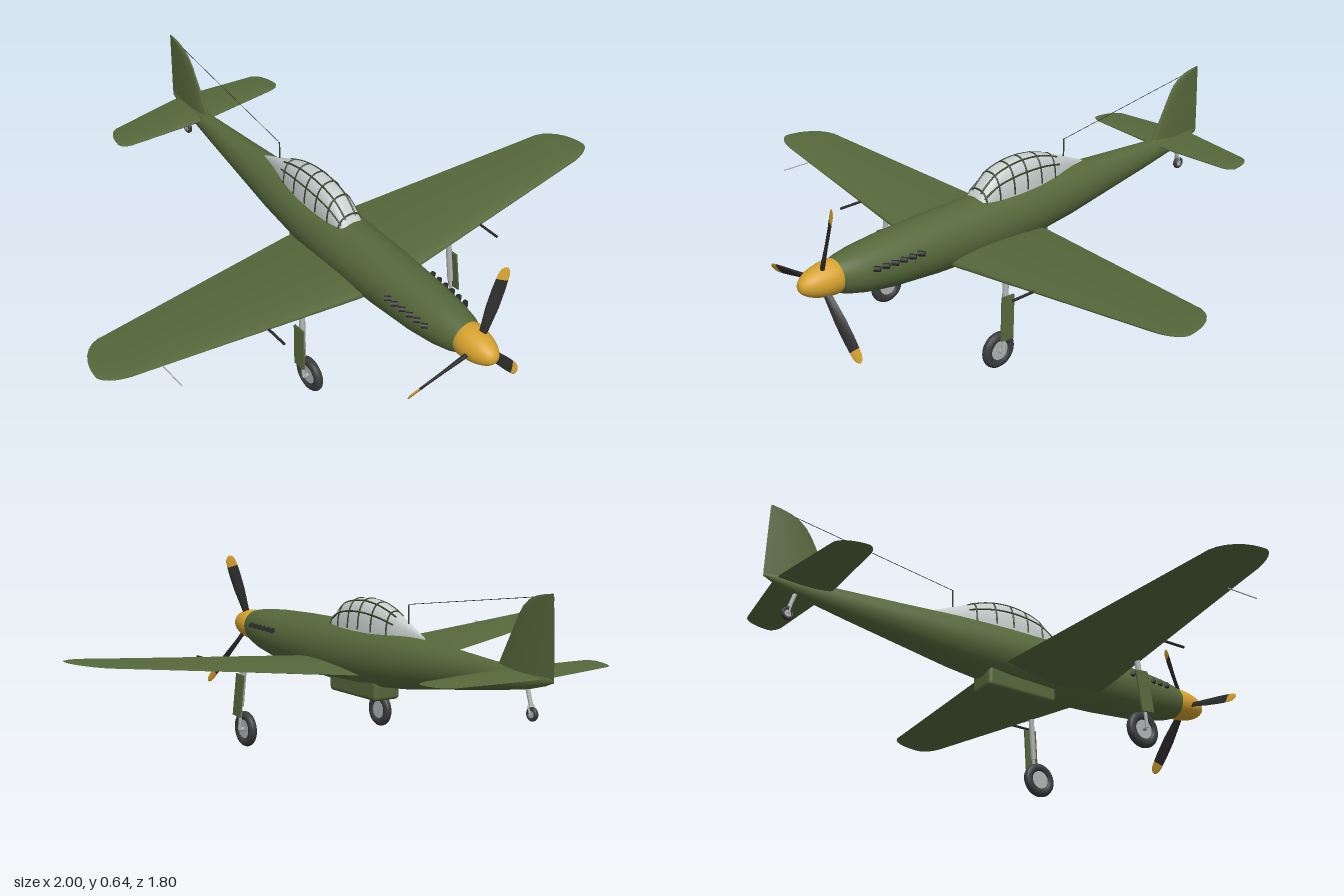
import * as THREE from 'three';
import { RoundedBoxGeometry } from 'three/addons/geometries/RoundedBoxGeometry.js';

const V = (x, y, z) => new THREE.Vector3(x, y, z);
const mat = (name, color, side = THREE.FrontSide) => {
  const m = new THREE.MeshStandardMaterial({ color, side });
  m.name = name;
  return m;
};

// Skin a list of rings (equal point counts), wound outward, with optional end caps
function loft(rings, { closed = false, caps = true } = {}) {
  const n = rings[0].length, pts = rings.flat(), idx = [];
  for (let i = 0; i < rings.length - 1; i++)
    for (let j = 0; j < (closed ? n : n - 1); j++) {
      const a = i * n + j, b = i * n + (j + 1) % n;
      idx.push(a, b, a + n, b, b + n, a + n);
    }
  if (caps) for (const end of [0, rings.length - 1]) {
    const base = pts.length;
    pts.push(...rings[end]);
    for (let j = 1; j < n - 1; j++) {
      if (end) idx.push(base, base + j, base + j + 1);
      else idx.push(base, base + j + 1, base + j);
    }
  }
  let vol = 0;
  const o = pts[0], p = k => pts[idx[k]].clone().sub(o);
  for (let k = 0; k < idx.length; k += 3) vol += p(k).dot(p(k + 1).cross(p(k + 2)));
  if (vol < 0) idx.reverse();
  const g = new THREE.BufferGeometry().setFromPoints(pts);
  g.setIndex(idx);
  g.computeVertexNormals();
  return g;
}

// Aerofoil surface: sections are [span, leading edge, trailing edge, half thickness]
function foil(sections, place, steps = 24) {
  return loft(sections.map(([s, le, te, t]) => Array.from({ length: steps + 1 }, (_, i) => {
    const a = i / steps * Math.PI * 2, f = (1 + Math.cos(a)) / 2;
    const h = Math.sign(Math.sin(a)) * 2.6 * Math.sqrt(f) * (1 - f) * t;
    return place(s, le + (te - le) * f, h);
  })));
}

// Mirrored span with elliptical tips
function span(root, x0, x1, le0, te0, le1, te1, tipZ, t0, t1) {
  const half = [[0, le0, te0, t0], [root, le0, te0, t0], [x0, le1, te1, t1]];
  for (const k of [0.25, 0.45, 0.62, 0.77, 0.88, 0.95, 0.985, 0.999]) {
    const s = Math.sqrt(1 - k * k);
    half.push([x0 + (x1 - x0) * k, tipZ + (le1 - tipZ) * s, tipZ + (te1 - tipZ) * s, t1 * s]);
  }
  return [...half.slice(1).reverse().map(([x, ...r]) => [-x, ...r]), ...half];
}

export function createModel() {
  const model = new THREE.Group();
  model.name = 'propellerPlane';
  const green = mat('olive green', 0x56683b), gold = mat('yellow', 0xd6a22f);
  const black = mat('black', 0x2b2b2c), rubber = mat('tyre rubber', 0x3a3b3c);
  const metal = mat('grey metal', 0xb0b3b4), glass = mat('canopy glass', 0xc6cecd, THREE.DoubleSide);
  const frame = mat('frame green', 0x35452c);

  const add = (name, geo, material, x = 0, y = 0, z = 0, parent = model) => {
    const m = new THREE.Mesh(geo, material);
    m.name = name;
    m.position.set(x, y, z);
    parent.add(m);
    return m;
  };
  const rod = (name, a, b, r, material, parent = model) => {
    const m = add(name, new THREE.CylinderGeometry(r, r, a.distanceTo(b), 10), material, 0, 0, 0, parent);
    m.position.copy(a).lerp(b, 0.5);
    m.quaternion.setFromUnitVectors(V(0, 1, 0), b.clone().sub(a).normalize());
    return m;
  };

  // Fuselage: z, top, bottom, half width
  const body = [
    [0.77, 0.418, 0.306, 0.055], [0.74, 0.425, 0.293, 0.066], [0.68, 0.434, 0.277, 0.078],
    [0.58, 0.442, 0.26, 0.088], [0.4, 0.449, 0.245, 0.096], [0.2, 0.452, 0.237, 0.099],
    [0, 0.452, 0.242, 0.095], [-0.2, 0.444, 0.262, 0.079], [-0.4, 0.431, 0.292, 0.058],
    [-0.6, 0.419, 0.322, 0.037], [-0.78, 0.409, 0.352, 0.018], [-0.86, 0.403, 0.374, 0.009],
    [-0.89, 0.397, 0.386, 0.003]];
  add('fuselage', loft(body.map(([z, t, b, w]) => Array.from({ length: 36 }, (_, i) => {
    const a = i / 36 * Math.PI * 2;
    return V(w * Math.cos(a), (t + b) / 2 + (t - b) / 2 * Math.sin(a), z);
  })), { closed: true }), green);

  // Wing, tailplane and fin
  add('wing', foil(span(0.1, 0.88, 1, 0.372, -0.03, 0.325, 0.115, 0.27, 0.026, 0.008),
    (x, z, h) => V(x, 0.283 + Math.abs(x) * 0.105 + h, z)), green);
  add('tailplane', foil(span(0.03, 0.29, 0.345, -0.665, -0.85, -0.682, -0.812, -0.715, 0.011, 0.006),
    (x, z, h) => V(x, 0.393 + h, z)), green);
  add('fin', foil([
    [0.386, -0.638, -0.895, 0.014], [0.41, -0.65, -0.895, 0.013], [0.575, -0.74, -0.89, 0.008],
    [0.6, -0.758, -0.889, 0.007], [0.62, -0.782, -0.888, 0.006], [0.634, -0.812, -0.888, 0.005],
    [0.642, -0.848, -0.887, 0.004], [0.646, -0.88, -0.887, 0.002]],
  (y, z, h) => V(h, y, z)), green);

  // Belly radiator with dark intake
  add('radiator', new RoundedBoxGeometry(0.106, 0.075, 0.275, 4, 0.014), green, 0, 0.2425, 0.052);
  add('radiatorIntake', new THREE.BoxGeometry(0.08, 0.024, 0.004), black, 0, 0.225, 0.189);

  // Canopy: half width, top height, z
  const spine = new THREE.CatmullRomCurve3([
    V(0.042, 0.44, 0.215), V(0.048, 0.482, 0.18), V(0.053, 0.521, 0.13), V(0.055, 0.54, 0.05),
    V(0.053, 0.54, -0.02), V(0.045, 0.526, -0.09), V(0.032, 0.498, -0.16), V(0.015, 0.468, -0.23),
    V(0.003, 0.442, -0.29)]);
  const soft = v => Math.sign(v) * Math.pow(Math.abs(v), 0.8);
  const onCanopy = (t, a) => {
    const c = spine.getPoint(t);
    return V(c.x * soft(Math.cos(a)), 0.42 + (c.y - 0.42) * soft(Math.sin(a)), c.z);
  };
  const arc = n => Array.from({ length: n + 1 }, (_, i) => i / n);
  add('canopyGlass', loft(arc(32).map(t => arc(24).map(k => onCanopy(t, k * Math.PI))), { caps: false }), glass);
  const bar = (name, points) => add(name,
    new THREE.TubeGeometry(new THREE.CatmullRomCurve3(points), 40, 0.0032, 6), frame);
  for (const t of [0.1, 0.24, 0.34, 0.44, 0.56, 0.69])
    bar('canopyHoop', arc(16).map(k => onCanopy(t, 0.1 + k * (Math.PI - 0.2))));
  for (const a of [0.62, 1.2, Math.PI - 1.2, Math.PI - 0.62])
    bar('canopyRail', arc(16).map(k => onCanopy(0.08 + k * 0.66, a)));

  // Spinner and three twisted blades with yellow tips
  const nose = [[0, 0], [0.055, 0], [0.057, 0.02], [0.054, 0.05], [0.046, 0.085], [0.033, 0.113], [0.017, 0.131], [0, 0.136]];
  const curve = new THREE.SplineCurve(nose.slice(1).map(p => new THREE.Vector2(...p))).getPoints(24);
  curve[curve.length - 1].x = 0;
  const spinner = add('spinner', new THREE.LatheGeometry([new THREE.Vector2(0, 0), ...curve], 32), gold, 0, 0.363, 0.764);
  spinner.rotation.x = Math.PI / 2;
  const twisted = (s, c, h) => {
    const p = 0.85 - s * 1.7;
    return V(c * Math.cos(p) - h * Math.sin(p), s, c * Math.sin(p) + h * Math.cos(p));
  };
  const blade = foil([[0.03, 0.011, -0.011, 0.008], [0.08, 0.015, -0.015, 0.007],
    [0.14, 0.02, -0.02, 0.005], [0.2, 0.021, -0.021, 0.004], [0.237, 0.02, -0.02, 0.003]], twisted, 16);
  const tip = foil([[0.237, 0.02, -0.02, 0.003], [0.258, 0.0185, -0.0185, 0.003],
    [0.271, 0.014, -0.014, 0.002], [0.278, 0.007, -0.007, 0.001], [0.28, 0.001, -0.001, 0.0005]], twisted, 16);
  for (const deg of [72, 192, 312]) {
    const g = new THREE.Group();
    g.name = 'propellerBlade';
    g.position.set(0, 0.363, 0.82);
    g.rotation.z = THREE.MathUtils.degToRad(deg - 90);
    add('blade', blade, black, 0, 0, 0, g);
    add('bladeTip', tip, gold, 0, 0, 0, g);
    model.add(g);
  }

  // Wheel helper: rounded tyre and hub on the x axis
  const wheel = (name, r, w, x, y, z, parent) => {
    const tyre = add(name + 'Tyre', new THREE.TorusGeometry(r * 0.74, r * 0.26, 14, 36), rubber, x, y, z, parent);
    tyre.rotation.y = Math.PI / 2;
    tyre.scale.z = w / (r * 0.52);
    const hub = add(name + 'Hub', new THREE.CylinderGeometry(r * 0.52, r * 0.52, w * 0.6, 24), metal, x, y, z, parent);
    hub.rotation.z = Math.PI / 2;
  };

  for (const s of [-1, 1]) {
    // Main landing gear
    const gear = new THREE.Group();
    gear.name = s > 0 ? 'leftGear' : 'rightGear';
    model.add(gear);
    wheel('main', 0.063, 0.03, s * 0.292, 0.065, 0.362, gear);
    rod('upperStrut', V(s * 0.306, 0.31, 0.34), V(s * 0.314, 0.15, 0.355), 0.01, metal, gear);
    rod('lowerStrut', V(s * 0.314, 0.16, 0.354), V(s * 0.317, 0.065, 0.362), 0.006, metal, gear);
    rod('axle', V(s * 0.317, 0.065, 0.362), V(s * 0.285, 0.065, 0.362), 0.007, metal, gear);
    const door = add('gearDoor', new THREE.BoxGeometry(0.006, 0.15, 0.05), green, s * 0.325, 0.19, 0.351, gear);
    door.rotation.set(-0.09, 0, s * 0.06);

    // Wing guns
    rod('gun', V(s * 0.44, 0.328, 0.3), V(s * 0.44, 0.328, 0.432), 0.0045, black);

    // Exhaust stubs
    for (let i = 0; i < 6; i++) {
      const z = 0.5 + i * 0.033;
      rod('exhaust', V(s * (0.083 - i * 0.0015), 0.38, z + 0.009), V(s * (0.101 - i * 0.002), 0.38, z - 0.006), 0.009, black);
    }
  }

  // Tail wheel
  wheel('tail', 0.022, 0.016, 0, 0.282, -0.805);
  rod('tailStrut', V(0, 0.365, -0.78), V(0, 0.305, -0.8), 0.007, metal);
  for (const s of [-1, 1]) rod('tailFork', V(s * 0.01, 0.308, -0.798), V(s * 0.01, 0.28, -0.805), 0.003, metal);

  // Pitot tube, aerial mast and wire
  rod('pitot', V(-0.8, 0.352, 0.3), V(-0.8, 0.352, 0.42), 0.002, metal);
  rod('aerialMast', V(0, 0.43, -0.2), V(0, 0.545, -0.202), 0.0025, frame);
  rod('aerialWire', V(0, 0.544, -0.202), V(0, 0.632, -0.825), 0.001, black);

  return model;
}
